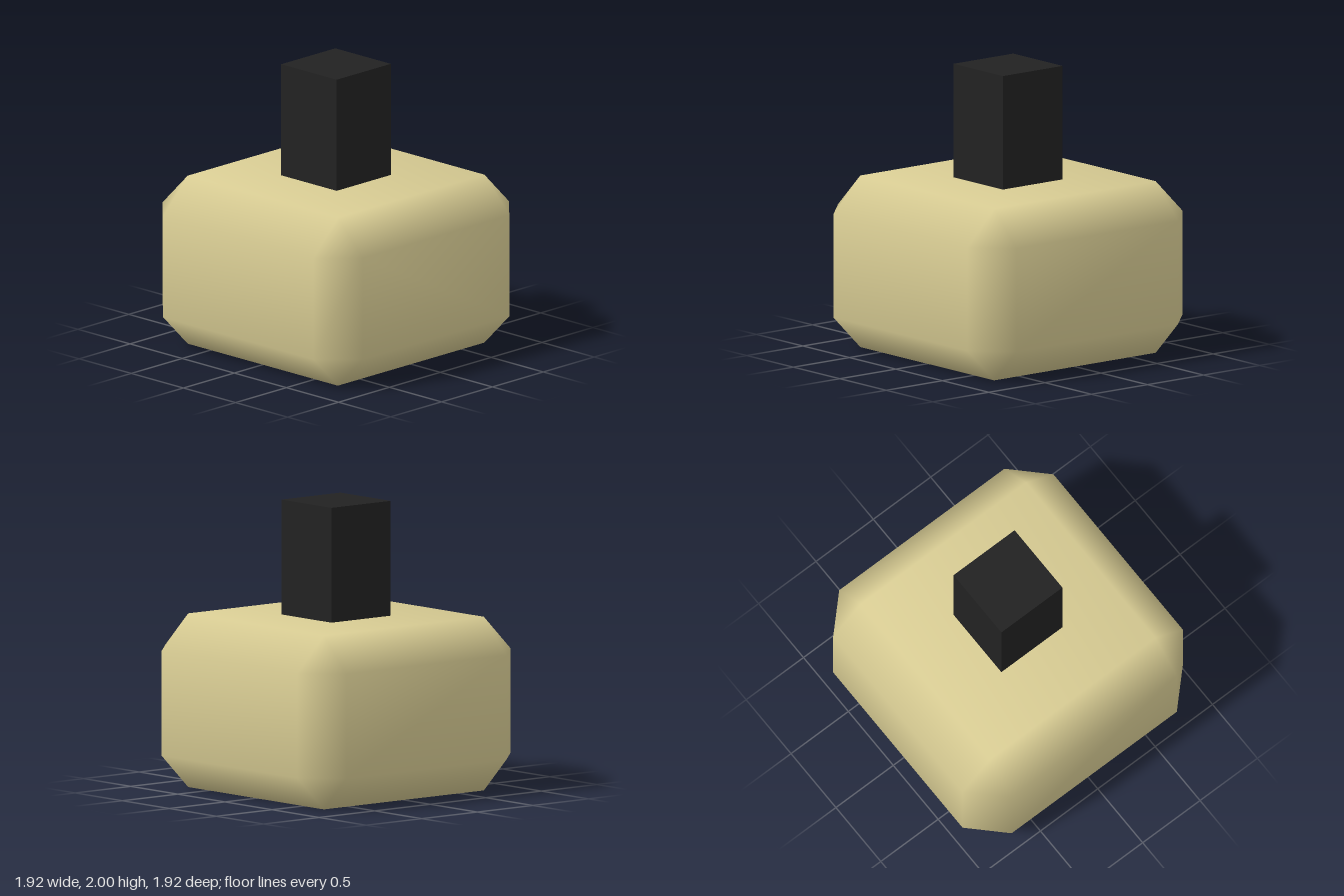
import * as THREE from 'three';
import { mergeVertices } from 'three/addons/utils/BufferGeometryUtils.js';
import { ConvexGeometry } from 'three/addons/geometries/ConvexGeometry.js';

// Box with one flat chamfer on every edge, shaded smoothly across the bevels
function chamferedBox(hx, hy, hz, c) {
  const points = [];
  for (const x of [-1, 1]) for (const y of [-1, 1]) for (const z of [-1, 1]) {
    for (let axis = 0; axis < 3; axis++) {
      // three points per corner, each lying on one of the box faces
      const inset = [c, c, c];
      inset[axis] = 0;
      points.push(new THREE.Vector3(
        x * (hx - inset[0]), y * (hy - inset[1]), z * (hz - inset[2])));
    }
  }
  const hull = new ConvexGeometry(points);
  hull.deleteAttribute('normal');
  const geometry = mergeVertices(hull, 1e-4);

  // Vertex normals lean mostly to the large face, equally in both other directions
  const pos = geometry.attributes.position;
  const half = [hx, hy, hz];
  const normals = [];
  for (let i = 0; i < pos.count; i++) {
    const p = [pos.getX(i), pos.getY(i), pos.getZ(i)];
    const n = p.map((v, a) => Math.sign(v) * (Math.abs(Math.abs(v) - half[a]) < 1e-3 ? 1 : 0.2));
    normals.push(...new THREE.Vector3(...n).normalize().toArray());
  }
  geometry.setAttribute('normal', new THREE.Float32BufferAttribute(normals, 3));
  return geometry;
}

export function createModel() {
  const gold = new THREE.MeshStandardMaterial({ color: 0xd9cd94 });
  gold.name = 'pale gold';
  const black = new THREE.MeshStandardMaterial({ color: 0x222222 });
  black.name = 'soft black';

  const model = new THREE.Group();
  model.name = 'bottle';

  // Wide bottle body
  const body = new THREE.Mesh(chamferedBox(0.96, 0.602, 0.96, 0.24), gold);
  body.name = 'bottleBody';
  body.position.y = 0.602;
  model.add(body);

  // Tall square cap
  const cap = new THREE.Mesh(new THREE.BoxGeometry(0.532, 0.796, 0.532), black);
  cap.name = 'cap';
  cap.position.y = 1.602;
  model.add(cap);

  return model;
}
